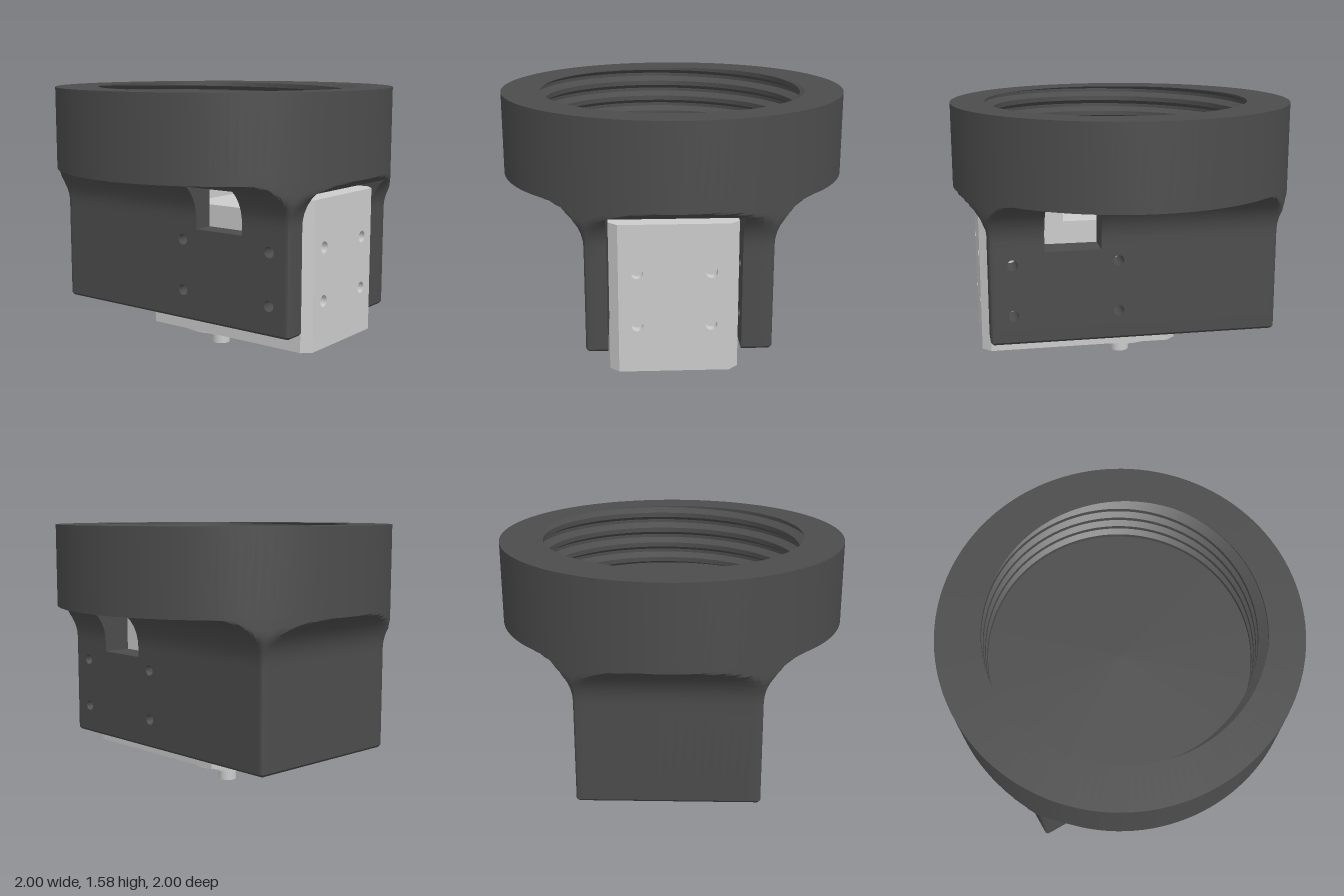
import * as THREE from 'three';
import { toCreasedNormals } from 'three/addons/utils/BufferGeometryUtils.js';

const dark = new THREE.MeshStandardMaterial({ color: 0x4c4c4c, side: THREE.DoubleSide });
const grey = new THREE.MeshStandardMaterial({ color: 0xcccccc });

// Housing dimensions
const HX = 0.81, HZ = 0.49, EDGE = 0.02;            // corner centres and corner radius
const SLOT = { x: -0.3, front: 0.39, back: -0.34, top: 1.05 };
const FILLET = 0.24, FILLET_Y = 0.865, RIM_Y = 1.105, TOP = 1.58;
const BORE = 0.75, FLOOR = 1.2, PITCH = 0.1;

function add(group, name, geometry, material) {
  const mesh = new THREE.Mesh(geometry, material);
  mesh.name = name;
  group.add(mesh);
  return mesh;
}

// Grid surface from rows of [x, y, z] points
function surface(rows, skip = () => false, flip = false) {
  const n = rows[0].length, index = [];
  for (let r = 0; r < rows.length - 1; r++) {
    for (let c = 0; c < n - 1; c++) {
      if (skip(r, c)) continue;
      const a = r * n + c, b = a + 1, e = a + n, f = e + 1;
      index.push(...(flip ? [a, b, e, b, f, e] : [a, e, b, b, e, f]));
    }
  }
  const g = new THREE.BufferGeometry();
  g.setAttribute('position', new THREE.Float32BufferAttribute(rows.flat(2), 3));
  g.setIndex(index);
  return toCreasedNormals(g, 0.5);
}

// Flat plate with round holes given as [x, y, radius]
function plate(points, holes, depth) {
  const shape = new THREE.Shape(points.map(([x, y]) => new THREE.Vector2(x, y)));
  for (const [x, y, r] of holes) shape.holes.push(new THREE.Path().absarc(x, y, r, 0, Math.PI * 2, true));
  return new THREE.ExtrudeGeometry(shape, { depth, bevelEnabled: false, curveSegments: 12 });
}
// Plate drawn in x and z, standing between two heights
const slab = (points, holes, y0, y1) => plate(points, holes, y1 - y0).rotateX(Math.PI / 2).translate(0, y1, 0);

function range(from, to, step) {
  const out = [], n = Math.round(Math.abs(to - from) / step);
  for (let i = 0; i <= n; i++) out.push(+(from + (to - from) * i / n).toFixed(3));
  return out;
}

// Columns around the housing, starting at the slot and going round by the front
function housingColumns() {
  const cols = [];
  const put = (x, z, a) => cols.push({ x, z, nx: Math.cos(a), nz: Math.sin(a) });
  const corner = (sx, sz, a0) => {
    for (let i = 0; i <= 8; i++) put(sx * HX, sz * HZ, a0 + i * Math.PI / 16);
  };
  const faceX = range(0.8, -0.8, 0.05).map(x => (x === 0.5 ? 0.52 : x));
  const H = Math.PI / 2;
  [SLOT.front, 0.44].forEach(z => put(HX, z, 0));
  corner(1, 1, 0);
  faceX.forEach(x => put(x, HZ, H));
  corner(-1, 1, H);
  range(0.45, -0.45, 0.05).forEach(z => put(-HX, z, 2 * H));
  corner(-1, -1, 2 * H);
  [...faceX].reverse().forEach(x => put(x, -HZ, 3 * H));
  corner(1, -1, 3 * H);
  [-0.44, -0.39, SLOT.back].forEach(z => put(HX, z, 0));
  const slotStart = cols.length - 1;
  range(SLOT.back, SLOT.front, 0.06).slice(1).forEach(z => put(HX, z, 0));
  return { cols, slotStart };
}

function buildHousing() {
  const g = new THREE.Group();
  g.name = 'housing';
  const { cols, slotStart } = housingColumns();
  const ys = [0.265, 0.28, 0.35, 0.8, FILLET_Y, 0.9, 0.94, 0.98, 1.02, SLOT.top, 1.07, 1.085, 1.096, 1.102, RIM_Y];
  const flare = y => y < 0.27 ? -0.015 : y <= FILLET_Y ? 0
    : FILLET - Math.sqrt(Math.max(0, FILLET ** 2 - (y - FILLET_Y) ** 2));
  // The flare grows outward until it meets the rim cylinder
  const outer = ys.map(y => cols.map(p => {
    const o = EDGE + flare(y), x = p.x + p.nx * o, z = p.z + p.nz * o;
    const s = Math.min(1, 1 / Math.hypot(x, z));
    return [x * s, y, z * s];
  }));
  const slotRow = ys.indexOf(SLOT.top), sillRow = ys.indexOf(0.8);
  const inner = outer.slice(0, slotRow + 1).map(row => row.slice(0, slotStart + 1).map(([x, y, z]) =>
    [Math.max(x, SLOT.x), y, Math.min(SLOT.front, Math.max(SLOT.back, z))]));
  outer.push(outer[ys.length - 1].map(([x, y, z]) => {
    const l = Math.hypot(x, z);
    return [x / l, y, z / l];
  }));

  // Openings: entry slot, side windows and the screw panels filled in below
  const skip = (r, c) => {
    if (r >= slotRow) return false;
    if (c >= slotStart) return true;
    const p = cols[c], q = cols[c + 1];
    if (Math.abs(p.nz) < 0.999 || Math.abs(q.nz) < 0.999) return false;
    const x = (p.x + q.x) / 2;
    if (r >= sillRow) return x > 0.2 && x < 0.52;
    return r === sillRow - 1 && x > 0 && x < 0.8;
  };
  add(g, 'housingShell', surface(outer, skip), dark);
  add(g, 'slotWalls', surface(inner, skip, true), dark);
  add(g, 'housingUnderside', surface([inner[0], outer[0].slice(0, slotStart + 1)]), dark);
  const sx = 0.91;
  add(g, 'slotCeiling', surface([
    [[SLOT.x, SLOT.top, SLOT.back], [sx, SLOT.top, SLOT.back]],
    [[SLOT.x, SLOT.top, SLOT.front], [sx, SLOT.top, SLOT.front]]], undefined, true), dark);

  const holes = [[0.1, 0.73], [0.7, 0.73], [0.1, 0.435], [0.7, 0.435]].map(([x, y]) => [x, y, 0.031]);
  for (const side of [1, -1]) {
    // Wall panel with screw holes
    const z0 = side > 0 ? SLOT.front : -HZ - EDGE, z1 = side > 0 ? HZ + EDGE : SLOT.back;
    add(g, 'screwPanel', plate([[0, 0.35], [0.8, 0.35], [0.8, 0.8], [0, 0.8]], holes, z1 - z0).translate(0, 0, z0), dark);
    // Window reveal
    const at = x => cols.findIndex(p => p.x === x && p.nz * side > 0.999);
    const ends = [at(0.2), at(0.52)].sort((a, b) => a - b);
    for (const c of ends) {
      const jamb = [outer, inner].map(s => s.slice(sillRow, slotRow + 1).map(row => row[c]));
      add(g, 'windowJamb', surface(jamb, undefined, c === ends[1]), dark);
    }
    const head = [outer, inner].map(s => s[slotRow].slice(ends[0], ends[1] + 1));
    add(g, 'windowHead', surface(head, undefined, true), dark);
  }
  return g;
}

// Threaded collar
function buildCollar() {
  const g = new THREE.Group();
  g.name = 'collar';
  add(g, 'collarWall', new THREE.CylinderGeometry(1, 1, TOP - RIM_Y, 128, 1, true).translate(0, (TOP + RIM_Y) / 2, 0), dark);
  const turns = range(0, 1, 1 / 128);
  const point = (r, y, t) => [r * Math.cos(t * 2 * Math.PI), y, -r * Math.sin(t * 2 * Math.PI)];
  const radius = (y, t) => {
    const f = (y - TOP) / PITCH - t, d = Math.abs(f - Math.round(f));
    return BORE + 0.05 * Math.min(1, Math.max(0, (0.36 - d) / 0.26));
  };
  // Helical thread, cut off level at the floor and the top
  const rows = [];
  for (let k = -6; k <= 1; k++) {
    for (const f of [-0.36, -0.1, 0.1, 0.36]) {
      rows.push(turns.map(t => {
        const y = Math.min(TOP, Math.max(FLOOR, TOP + (k + f + t) * PITCH));
        return point(radius(y, t), y, t);
      }));
    }
  }
  add(g, 'thread', surface(rows), dark);
  add(g, 'collarTop', surface([turns.map(t => point(radius(TOP, t), TOP, t)), turns.map(t => point(1, TOP, t))]), dark);
  add(g, 'collarFloor', new THREE.CircleGeometry(0.81, 96).rotateX(-Math.PI / 2).translate(0, FLOOR, 0), dark);
  return g;
}

// Servo motor sitting in the slot
function buildServo() {
  const g = new THREE.Group();
  g.name = 'servo';
  const rear = [[-0.23, 0.38], [-0.28, 0.33], [-0.28, -0.27], [-0.23, -0.32]];
  const nose = [[0.82, -0.32], [0.87, -0.27], [0.87, 0.33], [0.82, 0.38]];
  const notched = [[0.82, -0.32], [0.87, -0.27], [0.82, -0.27], [0.82, 0.33], [0.87, 0.33], [0.82, 0.38]];
  const corners = [];
  for (const x of [-0.2, 0.79]) for (const z of [-0.24, 0.3]) corners.push([x, z, 0.048]);
  corners.push([0.33, -0.2, 0.02], [0.33, 0.26, 0.02]);
  add(g, 'bottomCover', slab([...rear, ...nose], corners, 0.165, 0.24), grey);
  add(g, 'servoCase', slab([...rear, ...notched], [], 0.24, 0.925), grey);
  add(g, 'caseTopRear', slab([...rear, [0.05, -0.32], [0.05, 0.38]], [], 0.925, 1.005), grey);
  add(g, 'caseTopNose', slab([[0.465, 0.38], [0.465, 0.1], [0.39, 0.1], [0.39, -0.32], ...notched], [], 0.925, 1.005), grey);
  const holes = [];
  for (const z of [0.23, -0.17]) for (const y of [0.735, 0.435]) holes.push([-z, y, 0.033]);
  add(g, 'endPlate', plate([[-0.33, 0.24], [0.27, 0.24], [0.27, 1.005], [-0.33, 1.005]], holes, 0.05)
    .rotateY(Math.PI / 2).translate(0.82, 0, 0), grey);

  // Output horn and shaft
  const horn = [];
  for (let i = 0; i < 8; i++) horn.push([0.175 * Math.cos(i * Math.PI / 4), 0.175 * Math.sin(i * Math.PI / 4), 0.02]);
  const rim = range(0, 47, 1).map(i => [0.24 * Math.cos(i * Math.PI / 24), 0.24 * Math.sin(i * Math.PI / 24)]);
  add(g, 'horn', toCreasedNormals(slab(rim, horn, 0.115, 0.165), 0.6).translate(0, 0, 0.03), grey);
  add(g, 'hornBoss', new THREE.CylinderGeometry(0.1, 0.1, 0.05, 32).translate(0, 0.092, 0.03), grey);
  add(g, 'shaft', new THREE.CylinderGeometry(0.055, 0.055, 0.07, 32).translate(0, 0.035, 0.03), grey);
  return g;
}

export function createModel() {
  const model = new THREE.Group();
  model.name = 'servoMount';
  model.add(buildHousing(), buildCollar(), buildServo());
  return model;
}
